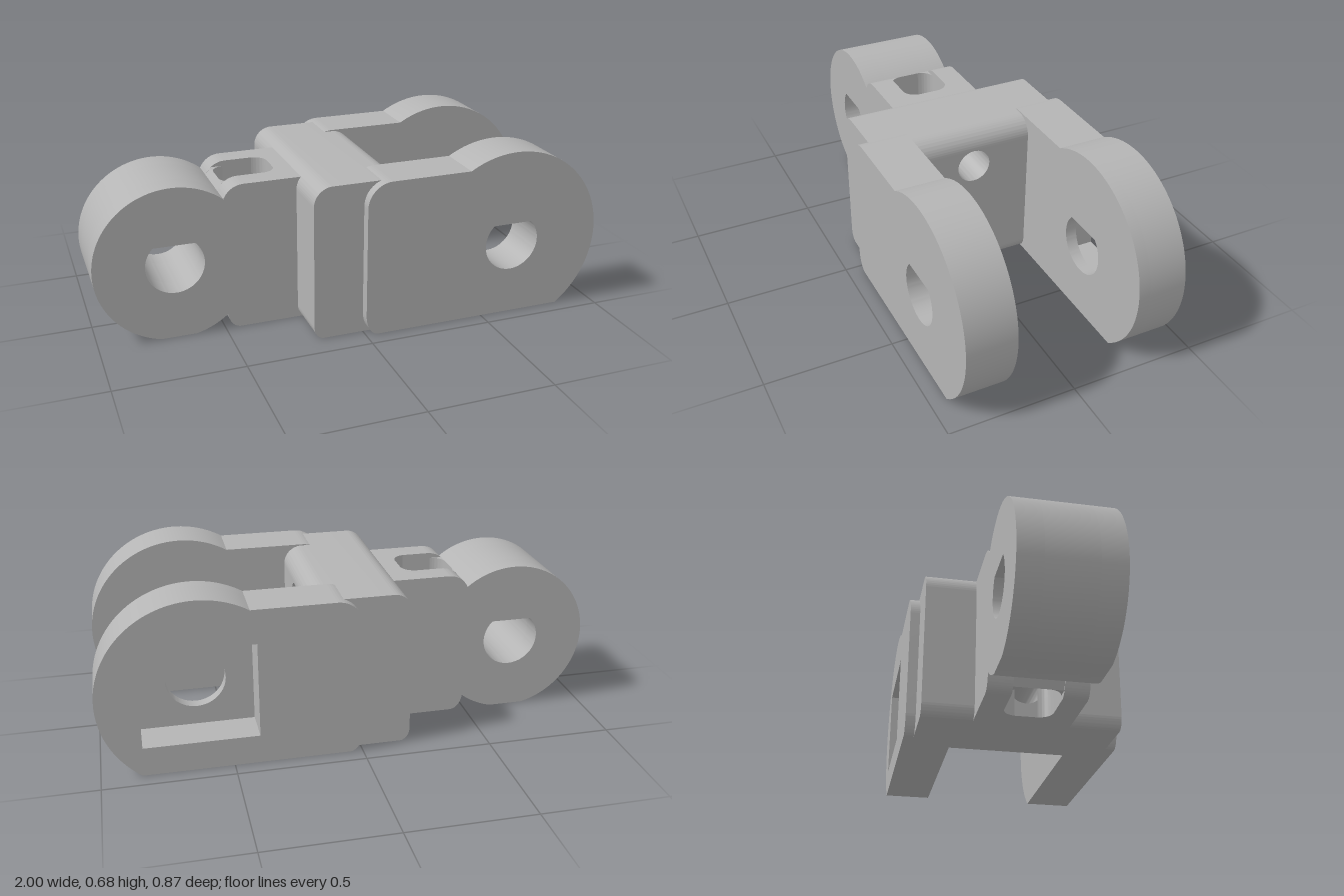
import * as THREE from 'three';
import { toCreasedNormals } from 'three/addons/utils/BufferGeometryUtils.js';

const EYE = { x: -0.687, y: 0.305, r: 0.313 };    // single-lug end
const FORK = { x: 0.62, y: 0.305, r: 0.38 };      // two-arm end
const BORES = [0.122, 0.478], BORE_R = 0.068;     // heights of the tunnels along x
const SLOT = { x0: -0.47, x1: -0.25, z: 0.095, r: 0.05 };
const FLOORS = [0.16, 0.445];                     // inner faces of the slots

export function createModel() {
  const group = new THREE.Group();
  const grey = new THREE.MeshStandardMaterial({ color: 0xb4b4b4 });
  grey.name = 'grey plastic';

  function add(name, geometry) {
    const mesh = new THREE.Mesh(toCreasedNormals(geometry, 0.5), grey);
    mesh.name = name;
    group.add(mesh);
  }
  const extrude = (shape, depth) =>
    new THREE.ExtrudeGeometry(shape, { depth, bevelEnabled: false, curveSegments: 32 });
  const alongZ = (name, shape, z0, z1) => add(name, extrude(shape, z1 - z0).translate(0, 0, z0));
  const alongX = (name, shape, x0, x1) =>
    add(name, extrude(shape, x1 - x0).rotateY(Math.PI / 2).translate(x0, 0, 0));
  const alongY = (name, shape, y0, y1) =>
    add(name, extrude(shape, y1 - y0).rotateX(Math.PI / 2).translate(0, y1, 0));

  function rect(x0, y0, x1, y1, Type = THREE.Shape) {
    const s = new Type();
    s.moveTo(x0, y0);
    s.lineTo(x1, y0);
    s.lineTo(x1, y1);
    s.lineTo(x0, y1);
    s.closePath();
    return s;
  }
  // Round pin hole with a 45 degree peak
  function teardrop(c) {
    const p = new THREE.Path();
    p.moveTo(c.x, c.y + 0.115 * Math.SQRT2);
    p.absarc(c.x, c.y, 0.115, Math.PI * 0.75, Math.PI * 2.25, false);
    p.closePath();
    return p;
  }
  function withBores(shape) {
    for (const y of BORES) shape.holes.push(new THREE.Path().absarc(0, y, BORE_R, 0, Math.PI * 2, false));
    return shape;
  }

  // Fork arms
  function armShape() {
    const s = new THREE.Shape();
    s.moveTo(0.05, 0);
    s.absarc(FORK.x, FORK.y, FORK.r, -Math.asin(FORK.y / FORK.r), Math.PI - Math.asin(0.325 / FORK.r), false);
    s.lineTo(0.1, 0.63);
    s.absarc(0.1, 0.53, 0.1, Math.PI / 2, Math.PI, false);
    s.lineTo(0, 0.085);
    s.absellipse(0.05, 0.085, 0.05, 0.085, Math.PI, Math.PI * 1.5, false);
    return s;
  }
  const drilledArm = armShape();
  drilledArm.holes.push(teardrop(FORK));
  alongZ('frontArm', drilledArm, 0.24, 0.435);
  alongZ('backArmFloor', drilledArm, -0.285, -0.24);
  const nutArm = armShape();
  nutArm.holes.push(rect(0.40, 0.115, 0.84, 0.495, THREE.Path));
  alongZ('backArmNutPocket', nutArm, -0.435, -0.285);

  // Centre block: drilled core with rounded top and bottom
  alongX('bodyCore', withBores(rect(-0.395, 0.05, 0.395, 0.55)), -0.2, 0.18);
  const top = new THREE.Shape();
  top.moveTo(-0.2, 0.55);
  top.lineTo(0.18, 0.55);
  top.absarc(0.105, 0.55, 0.075, 0, Math.PI / 2, false);
  top.absarc(-0.125, 0.55, 0.075, Math.PI / 2, Math.PI, false);
  alongZ('bodyTop', top, -0.395, 0.395);
  const bottom = new THREE.Shape();
  bottom.moveTo(0.18, 0.05);
  bottom.lineTo(-0.2, 0.05);
  bottom.absellipse(-0.16, 0.05, 0.04, 0.05, Math.PI, Math.PI * 1.5, false);
  bottom.absellipse(0.14, 0.05, 0.04, 0.05, Math.PI * 1.5, Math.PI * 2, false);
  alongZ('bodyBottom', bottom, -0.395, 0.395);

  // Lug arc, from the upper notch round the far side to the lower notch, cut flat at y = 0
  function lugArc(s) {
    const notch = Math.acos(0.197 / EYE.r), flat = Math.asin(EYE.y / EYE.r);
    s.absarc(EYE.x, EYE.y, EYE.r, notch, Math.PI + flat, false);
    s.absarc(EYE.x, EYE.y, EYE.r, Math.PI * 2 - flat, Math.PI * 2 - notch, false);
    s.holes.push(teardrop(EYE));
    return s;
  }
  // Lug cheeks on both sides of the slot
  const cheek = new THREE.Shape();
  cheek.moveTo(-0.49, 0.062);
  cheek.quadraticCurveTo(-0.48, 0.005, -0.44, 0);
  cheek.lineTo(-0.15, 0);
  cheek.lineTo(-0.15, 0.6);
  cheek.lineTo(-0.41, 0.6);
  cheek.quadraticCurveTo(-0.465, 0.598, -0.49, 0.548);
  lugArc(cheek);
  alongZ('lugCheek', cheek, SLOT.z, 0.19);
  alongZ('lugCheek', cheek, -0.19, -SLOT.z);

  // Lug middle, ending at the slot
  const middle = new THREE.Shape();
  middle.moveTo(-0.49, 0.062);
  middle.lineTo(SLOT.x0, 0.022);
  middle.lineTo(SLOT.x0, 0.578);
  middle.lineTo(-0.49, 0.548);
  lugArc(middle);
  alongZ('lugMiddle', middle, -SLOT.z, SLOT.z);

  // Slot floor with a trough where each tunnel runs out
  const web = new THREE.Shape();
  const [f0, f1] = FLOORS, [b0, b1] = BORES;
  const a0 = Math.asin((f0 - b0) / BORE_R), a1 = Math.asin((b1 - f1) / BORE_R);
  web.moveTo(-SLOT.z, f0);
  web.absarc(0, b0, BORE_R, Math.PI - a0, a0, true);
  web.lineTo(SLOT.z, f0);
  web.lineTo(SLOT.z, f1);
  web.absarc(0, b1, BORE_R, -a1, -Math.PI + a1, true);
  web.lineTo(-SLOT.z, f1);
  alongX('slotFloor', web, -0.45, SLOT.x1);
  alongX('slotFloorEnd', rect(-SLOT.z, f0, SLOT.z, f1), SLOT.x0, -0.45);
  alongX('slotWall', withBores(rect(-SLOT.z, 0, SLOT.z, 0.6)), SLOT.x1, -0.15);

  // Rounded corners of both slots
  for (const [x, sx] of [[SLOT.x0, 1], [SLOT.x1, -1]]) {
    for (const sz of [1, -1]) {
      const z = sz * SLOT.z, r = SLOT.r;
      const fillet = new THREE.Shape();
      fillet.moveTo(x, z);
      fillet.lineTo(x + sx * r, z);
      fillet.quadraticCurveTo(x + sx * r * 0.15, z - sz * r * 0.15, x, z - sz * r);
      fillet.closePath();
      const inset = sx > 0 ? 0.022 : 0;
      alongY('slotCorner', fillet, f1, 0.6 - inset);
      alongY('slotCorner', fillet, inset, f0);
    }
  }
  return group;
}
